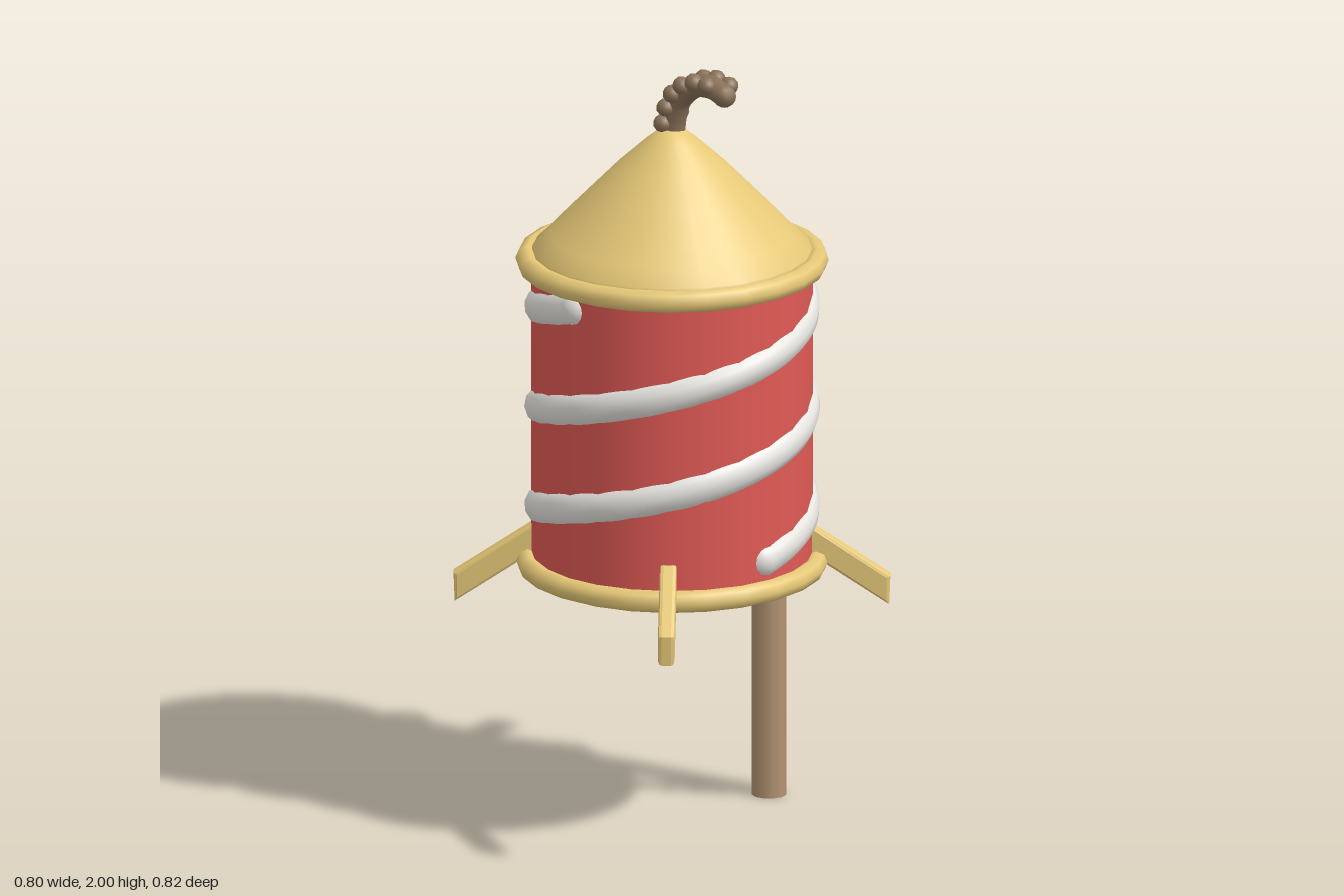
import * as THREE from 'three';

const mat = (color) => new THREE.MeshStandardMaterial({ color });
const CZ = 0.008; // z of the rocket axis

export function createModel() {
  const model = new THREE.Group();
  const gold = mat(0xe6c877), red = mat(0xe05a55), white = mat(0xe8e6e1);
  const wood = mat(0xb39372), fuseBrown = mat(0x8a7259), clipBrown = mat(0x7f6852);

  const add = (name, geometry, material, x = 0, y = 0, z = 0, parent = model) => {
    const mesh = new THREE.Mesh(geometry, material);
    mesh.name = name;
    mesh.position.set(x, y, z);
    parent.add(mesh);
    return mesh;
  };

  // Red tube body
  add('body', new THREE.CylinderGeometry(0.355, 0.355, 0.79, 24), red, 0, 1.085, CZ);

  // Gold rings at both ends of the body
  for (const [name, y] of [['topRing', 1.48], ['bottomRing', 0.69]]) {
    const ring = add(name, new THREE.TorusGeometry(0.365, 0.029, 8, 24), gold, 0, y, CZ);
    ring.rotation.x = Math.PI / 2;
  }

  // Flared nose cone
  const profile = [[0, 1.48], [0.352, 1.48], [0.352, 1.51], [0.31, 1.55], [0.27, 1.593], [0.2, 1.665],
    [0.137, 1.73], [0.065, 1.795], [0.03, 1.823], [0, 1.83]];
  add('noseCone', new THREE.LatheGeometry(profile.map(([r, y]) => new THREE.Vector2(r, y)), 24),
    gold, 0, 0, CZ);

  // Two white stripes winding 1.25 turns, with rounded ends
  for (const start of [0, Math.PI]) {
    const points = [];
    for (let i = 0; i <= 40; i++) {
      const t = i / 40, a = start + t * 2.5 * Math.PI;
      points.push(new THREE.Vector3(0.322 * Math.cos(a), 0.765 + 0.655 * t, -0.322 * Math.sin(a)));
    }
    const stripe = new THREE.Group();
    stripe.name = 'spiralStripe';
    stripe.position.z = CZ;
    model.add(stripe);
    add('stripeTube', new THREE.TubeGeometry(new THREE.CatmullRomCurve3(points), 90, 0.05, 12),
      white, 0, 0, 0, stripe);
    for (const p of [points[0], points[40]])
      add('stripeEnd', new THREE.SphereGeometry(0.05, 14, 10), white, p.x, p.y, p.z, stripe);
  }

  // Four swept fins on the diagonals
  const finShape = new THREE.Shape([[0.325, 0.735], [0.54, 0.59], [0.54, 0.65], [0.325, 0.795]]
    .map(([x, y]) => new THREE.Vector2(x, y)));
  const finGeometry = new THREE.ExtrudeGeometry(finShape, {
    depth: 0.024, bevelEnabled: true, bevelSize: 0.009, bevelThickness: 0.009, bevelSegments: 2,
  });
  finGeometry.translate(0, 0, -0.012);
  for (let i = 0; i < 4; i++) {
    const fin = add('fin', finGeometry, gold, 0, 0, CZ);
    fin.rotation.y = Math.PI / 4 + i * Math.PI / 2;
  }

  // Guide stick on the back
  add('stick', new THREE.CylinderGeometry(0.045, 0.045, 1.42, 12), wood, 0, 0.71, -0.328);

  // Angular clips holding the stick
  for (const y of [0.755, 1.33]) {
    const clip = add('stickClip', new THREE.TorusGeometry(0.062, 0.018, 6, 8), clipBrown, 0, y, -0.337);
    clip.rotation.set(Math.PI / 2, 0, Math.PI / 8);
  }

  // Bent fuse with knobbly strands on both sides
  const fuse = new THREE.CatmullRomCurve3([[0, 1.79], [0.006, 1.85], [0.03, 1.91], [0.085, 1.953],
    [0.14, 1.962], [0.187, 1.95]].map(([x, y]) => new THREE.Vector3(x, y, 0.004)));
  add('fuse', new THREE.TubeGeometry(fuse, 24, 0.03, 10), fuseBrown);
  const tip = fuse.getPoint(1);
  add('fuseTip', new THREE.SphereGeometry(0.03, 10, 8), fuseBrown, tip.x, tip.y, tip.z);
  const knot = new THREE.IcosahedronGeometry(0.024, 1);
  for (let i = 0; i < 12; i++) {
    const u = 0.16 + i * 0.071, p = fuse.getPointAt(u), side = i % 2 ? -1 : 1;
    const n = fuse.getTangentAt(u), lift = 0.013;
    add('fuseKnot', knot, fuseBrown, p.x - n.y * lift, p.y + n.x * lift, p.z + side * 0.028);
  }
  return model;
}
